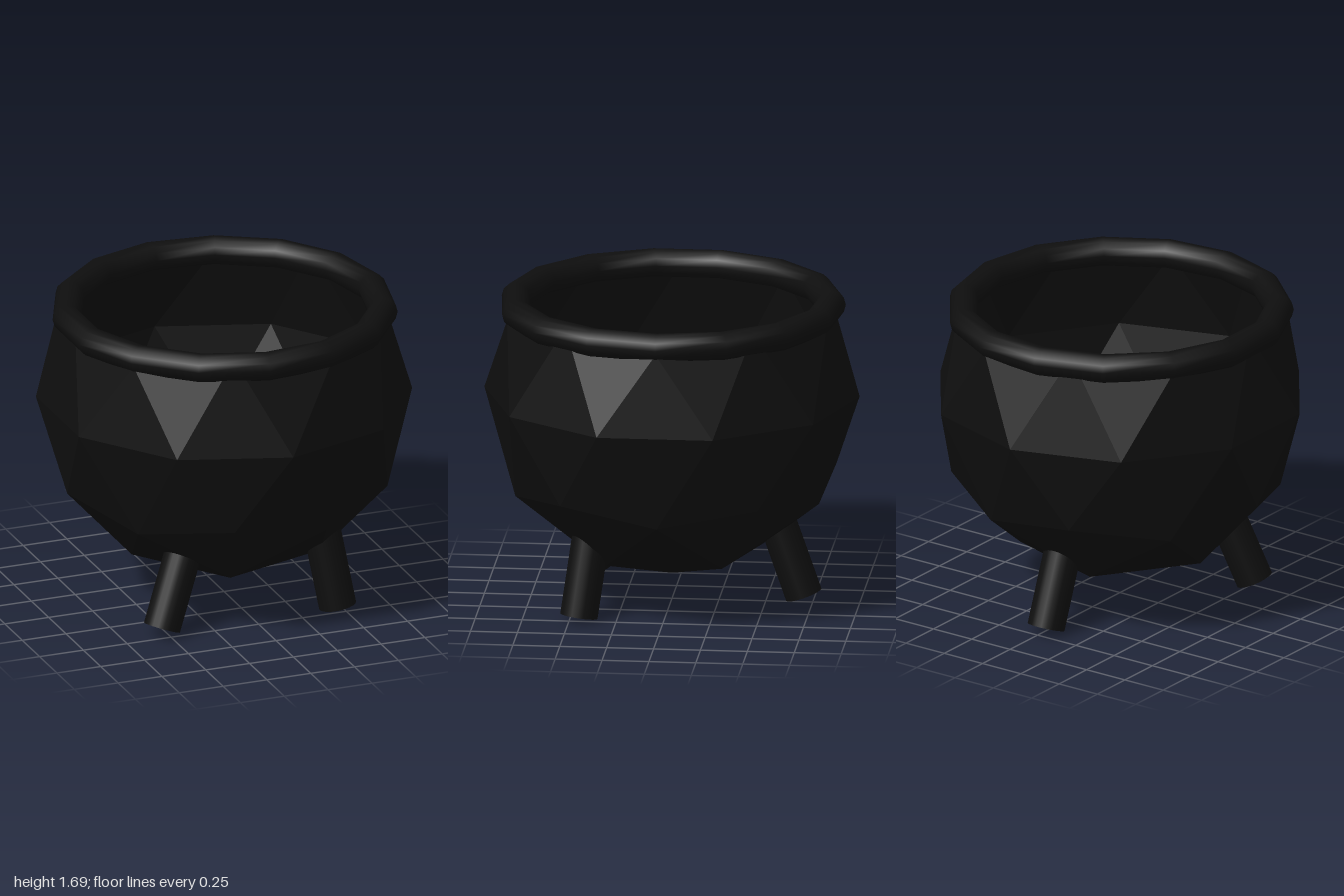
import * as THREE from 'three';

const BOWL_Y = 1.14;

// Faceted sphere standing on a vertex, with the cap above the upper ring removed
function bowlGeometry() {
  const ball = new THREE.IcosahedronGeometry(1, 1);
  ball.rotateZ(-Math.atan2(2, 1 + Math.sqrt(5)));
  const p = ball.attributes.position;
  const kept = [];
  for (let i = 0; i < p.count; i += 3) {
    const top = Math.max(p.getY(i), p.getY(i + 1), p.getY(i + 2));
    if (top > 0.7) continue;
    for (let k = i; k < i + 3; k++) kept.push(p.getX(k), p.getY(k), p.getZ(k));
  }
  const g = new THREE.BufferGeometry();
  g.setAttribute('position', new THREE.Float32BufferAttribute(kept, 3));
  g.computeVertexNormals(); // unshared corners keep the facets flat
  return g;
}

// Round peg between two points
function peg(name, foot, top, radius, material) {
  const a = new THREE.Vector3(...foot);
  const b = new THREE.Vector3(...top);
  const dir = b.clone().sub(a);
  const mesh = new THREE.Mesh(new THREE.CylinderGeometry(radius, radius, dir.length(), 20), material);
  mesh.position.copy(a).add(b).multiplyScalar(0.5);
  mesh.quaternion.setFromUnitVectors(new THREE.Vector3(0, 1, 0), dir.normalize());
  mesh.name = name;
  return mesh;
}

export function createModel() {
  const group = new THREE.Group();
  group.name = 'cauldron';

  const iron = new THREE.MeshStandardMaterial({ color: 0x0e0e0e, side: THREE.DoubleSide });
  iron.name = 'black iron';

  // Open bowl
  const bowl = new THREE.Mesh(bowlGeometry(), iron);
  bowl.name = 'bowl';
  bowl.position.y = BOWL_Y;
  group.add(bowl);

  // Rolled rim hiding the bowl's zigzag edge
  const rim = new THREE.Mesh(new THREE.TorusGeometry(0.845, 0.077, 12, 15).rotateX(Math.PI / 2), iron);
  rim.name = 'rim';
  rim.position.y = 1.615;
  group.add(rim);

  // Three splayed legs, their tops poking through the bowl floor
  group.add(
    peg('frontLeftLeg', [0.47, 0.02, 0.45], [0.4, 0.46, 0.39], 0.1, iron),
    peg('frontRightLeg', [-0.54, 0.05, 0.47], [-0.385, 0.45, 0.4], 0.1, iron),
    peg('backLeg', [-0.02, 0.035, -0.7], [-0.03, 0.46, -0.55], 0.1, iron),
  );

  return group;
}
